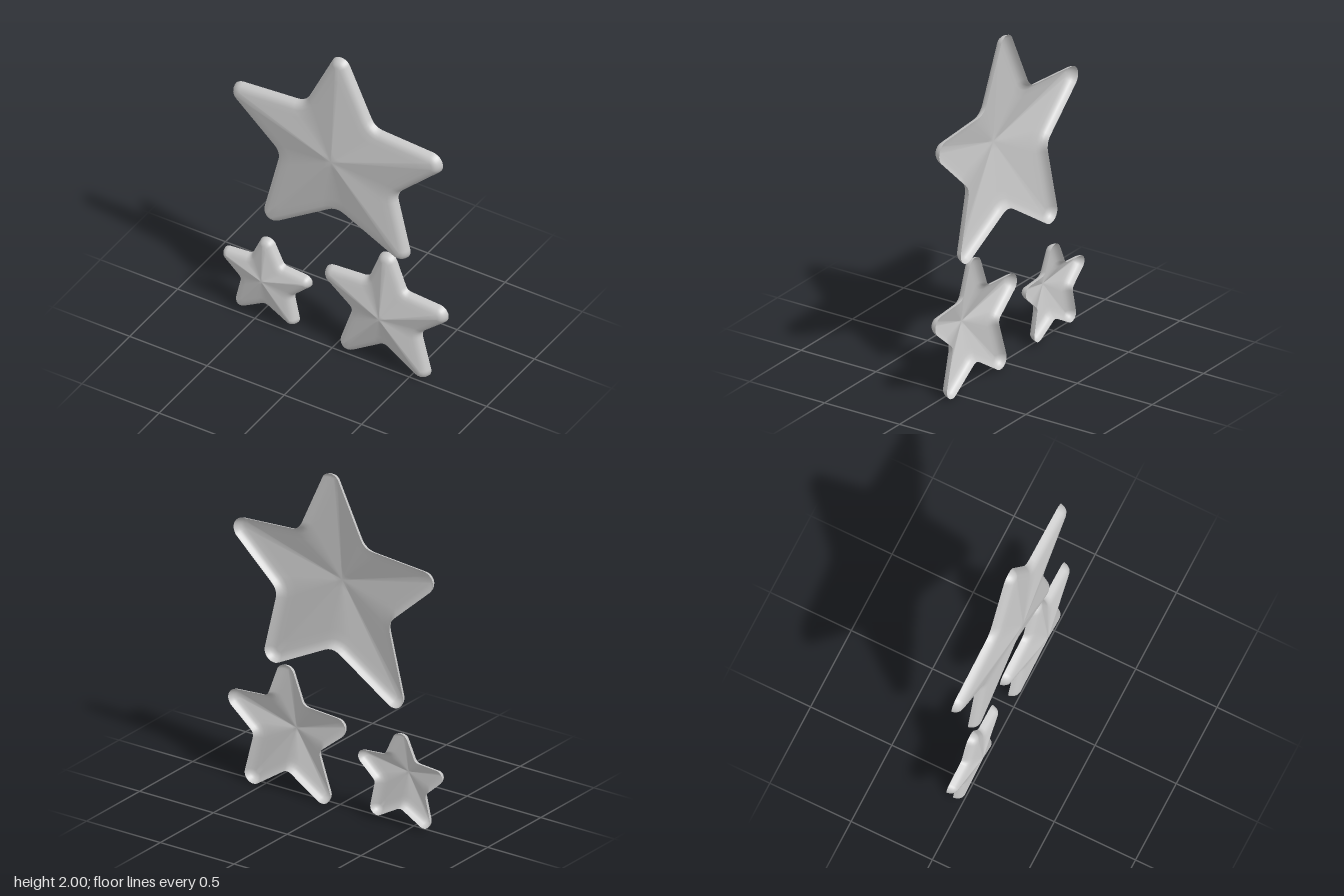
import * as THREE from 'three';
import { mergeVertices } from 'three/addons/utils/BufferGeometryUtils.js';

const V = (x, y) => new THREE.Vector2(x, y);
const BACK = -0.05;

// tips: [x, y, radius] of the rounded arm ends, clockwise from the top.
// notches: inner corner following each tip. apex: [x, y, z] of the raised middle.
const STARS = [
  {
    name: 'largeStar', apex: [0.02, 1.33, 0.047], bevel: 0.045,
    tips: [[0.03, 1.94, 0.06], [0.617, 1.512, 0.07], [0.412, 0.83, 0.065], [-0.398, 0.765, 0.065], [-0.597, 1.506, 0.068]],
    notches: [[0.248, 1.605], [0.39, 1.205], [0.015, 0.958], [-0.358, 1.2], [-0.198, 1.605]],
  },
  {
    name: 'mediumStar', apex: [0.33, 0.36, 0.047], bevel: 0.042,
    tips: [[0.336, 0.71, 0.06], [0.664, 0.48, 0.06], [0.555, 0.057, 0.057], [0.088, 0.057, 0.057], [-0.01, 0.48, 0.06]],
    notches: [[0.458, 0.555], [0.55, 0.305], [0.325, 0.142], [0.111, 0.305], [0.213, 0.555]],
  },
  {
    name: 'smallStar', apex: [-0.44, 0.3, 0.032], bevel: 0.036,
    tips: [[-0.442, 0.506, 0.052], [-0.2, 0.354, 0.043], [-0.284, 0.072, 0.045], [-0.6, 0.072, 0.045], [-0.684, 0.354, 0.043]],
    notches: [[-0.338, 0.408], [-0.272, 0.23], [-0.442, 0.11], [-0.61, 0.23], [-0.543, 0.408]],
  },
];

// Clockwise outline: arcs around the tips, straight flanks, softened notches
function starOutline({ tips, notches }) {
  const arcs = tips.map(([x, y, r], i) => {
    const c = V(x, y);
    const tangent = (n, sign) => {
      const d = V(...n).sub(c);
      return d.angle() + sign * Math.acos(r / d.length());
    };
    const a0 = tangent(notches[(i + 4) % 5], -1);
    let a1 = tangent(notches[i], 1);
    while (a1 > a0) a1 -= 2 * Math.PI;
    while (a0 - a1 > 2 * Math.PI) a1 += 2 * Math.PI;
    return Array.from({ length: 13 }, (_, k) => {
      const a = a0 + (a1 - a0) * k / 12;
      return V(x + r * Math.cos(a), y + r * Math.sin(a));
    });
  });
  const points = [];
  arcs.forEach((arc, i) => {
    const notch = V(...notches[i]);
    const from = arc[12], to = arcs[(i + 1) % 5][0];
    const start = notch.clone().lerp(from, 0.14);
    const end = notch.clone().lerp(to, 0.14);
    points.push(...arc);
    for (let k = 1; k < 5; k++) points.push(from.clone().lerp(start, k / 5));
    points.push(...new THREE.QuadraticBezierCurve(start, notch, end).getPoints(5));
    for (let k = 1; k < 5; k++) points.push(end.clone().lerp(to, k / 5));
  });
  return points;
}

// Hollow shell, open at the back: bevelled rim, then rings rising to the apex
function starShell(star) {
  const outline = starOutline(star);
  const n = outline.length;
  const inward = outline.map((p, i) => {
    const a = p.clone().sub(outline[(i + n - 1) % n]).normalize();
    const b = outline[(i + 1) % n].clone().sub(p).normalize();
    const t = a.add(b).normalize();
    return V(t.y, -t.x);
  });
  const inset = d => outline.map((p, i) => p.clone().addScaledVector(inward[i], d));
  const position = [];
  const addRing = (ring, z) => ring.forEach(p => position.push(p.x, p.y, z));

  const rim = [[0, BACK], [0.1, -0.034], [0.28, -0.02], [0.55, -0.008], [1, 0]];
  for (const [d, z] of rim) addRing(inset(d * star.bevel), z);

  const [ax, ay, az] = star.apex;
  const centre = V(ax, ay), inner = inset(star.bevel);
  const steps = [0.85, 0.7, 0.55, 0.4, 0.25, 0.12, 0];
  for (const s of steps) addRing(inner.map(p => centre.clone().lerp(p, s)), az * (1 - s));

  const index = [];
  const rings = rim.length + steps.length;
  for (let r = 0; r < rings - 1; r++) {
    for (let j = 0; j < n; j++) {
      const k = (j + 1) % n, o = r * n, q = o + n;
      index.push(o + j, q + k, o + k);
      if (r < rings - 2) index.push(o + j, q + j, q + k);
    }
  }
  let geometry = new THREE.BufferGeometry();
  geometry.setAttribute('position', new THREE.Float32BufferAttribute(position, 3));
  geometry.setIndex(index);
  geometry = mergeVertices(geometry, 1e-5);
  geometry.computeVertexNormals();
  return geometry;
}

export function createModel() {
  const group = new THREE.Group();
  group.name = 'threeStars';
  const grey = new THREE.MeshStandardMaterial({ color: 0xc8c8c8, side: THREE.DoubleSide });
  grey.name = 'light grey';
  for (const star of STARS) {
    const mesh = new THREE.Mesh(starShell(star), grey);
    mesh.name = star.name;
    group.add(mesh);
  }
  return group;
}
